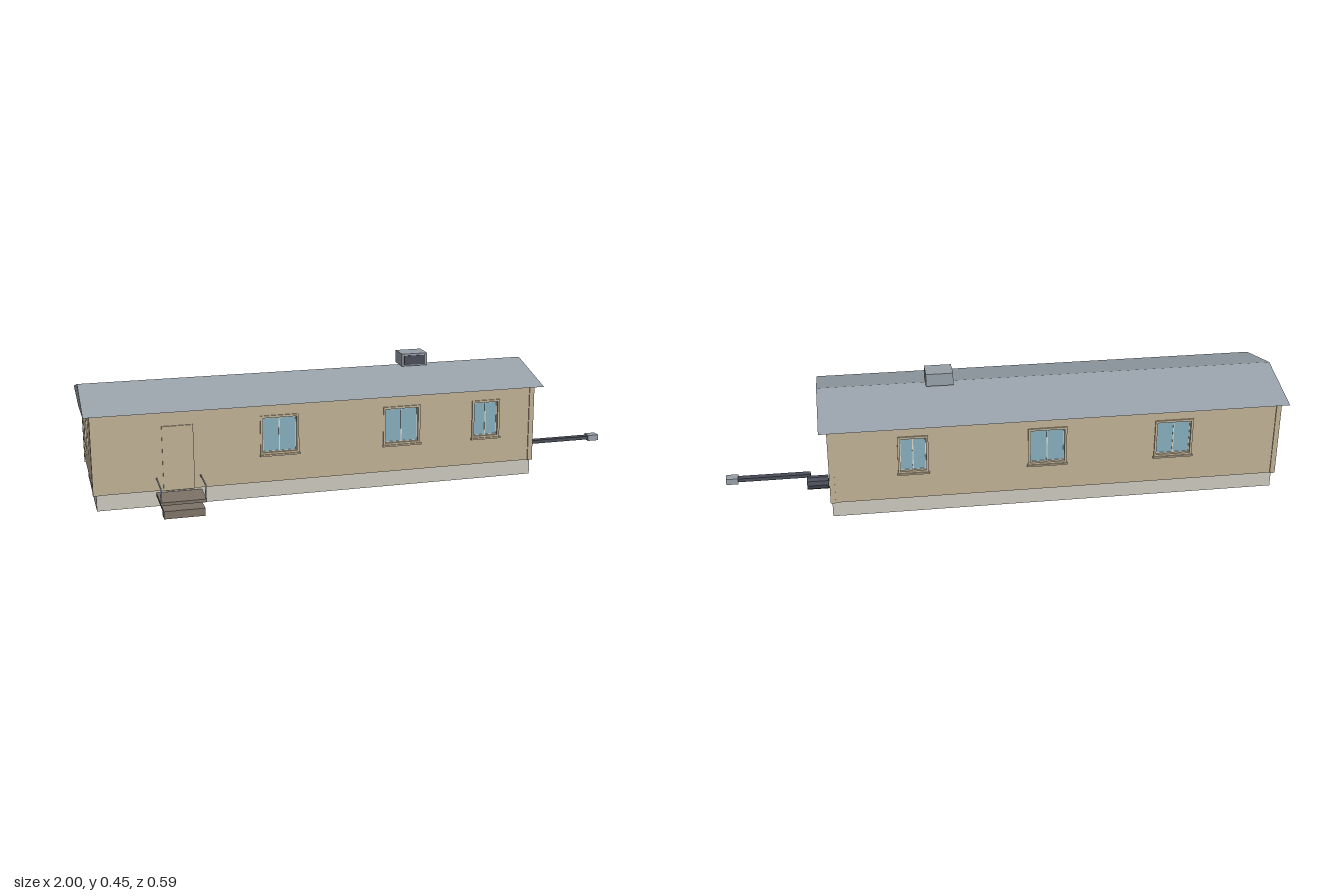
import * as THREE from 'three';

const mat = (name, color, side = THREE.FrontSide) => {
  const m = new THREE.MeshStandardMaterial({ color, side });
  m.name = name;
  return m;
};

export function createModel() {
  const siding = mat('siding', 0xbeaf94);
  const skirting = mat('skirting', 0xc8c6bb);
  const metal = mat('roofMetal', 0x97a0a8);
  const steel = mat('darkSteel', 0x494d57);
  const doorBrown = mat('doorBrown', 0x654834);
  const glass = mat('glass', 0x85acbb, THREE.DoubleSide);
  const sash = mat('sash', 0xd8d4c6);
  const timber = mat('timber', 0x7d7367);

  const model = new THREE.Group();

  const add = (parent, name, geometry, material) => {
    const mesh = new THREE.Mesh(geometry, material);
    mesh.name = name;
    parent.add(mesh);
    return mesh;
  };
  // box given by its min and max on each axis
  const box = (parent, name, material, x0, x1, y0, y1, z0, z1) => {
    const m = add(parent, name, new THREE.BoxGeometry(x1 - x0, y1 - y0, z1 - z0), material);
    m.position.set((x0 + x1) / 2, (y0 + y1) / 2, (z0 + z1) / 2);
    return m;
  };
  const rect = (C, x0, x1, y0, y1) => {
    const p = new C();
    p.moveTo(x0, y0);
    p.lineTo(x1, y0);
    p.lineTo(x1, y1);
    p.lineTo(x0, y1);
    p.closePath();
    return p;
  };
  // flat rectangular plate with rectangular holes, from z0 to z1
  const plate = (outer, holes, z0, z1) => {
    const s = rect(THREE.Shape, ...outer);
    holes.forEach((h) => s.holes.push(rect(THREE.Path, ...h)));
    return new THREE.ExtrudeGeometry(s, { depth: z1 - z0, bevelEnabled: false }).translate(0, 0, z0);
  };

  const X0 = -0.975, X1 = 0.626, Z0 = -0.267, Z1 = 0.161;
  const CX = (X0 + X1) / 2, CZ = (Z0 + Z1) / 2;
  const FLOOR = 0.057, TOP = 0.34;

  // window: trim, sash, two panes and a sill, set in a wall's own frame
  const addWindow = (wall, u, w) => {
    const g = new THREE.Group();
    g.name = 'window';
    g.position.x = u;
    wall.add(g);
    const a = w / 2, b = a - 0.008, c = b - 0.003;
    add(g, 'windowTrim', plate([-a, a, 0.157, 0.298], [[-b, b, 0.165, 0.29]], -0.001, 0.005), siding);
    add(g, 'windowSash', plate([-b, b, 0.165, 0.29],
      [[-c, -0.002, 0.168, 0.287], [0.002, c, 0.168, 0.287]], -0.009, -0.004), sash);
    box(g, 'windowGlass', glass, -c, c, 0.168, 0.287, -0.008, -0.006);
    box(g, 'windowSill', siding, -a - 0.003, a + 0.003, 0.152, 0.158, -0.001, 0.01);
  };

  // door: trim around an opening with a slightly narrower leaf
  const addDoor = (wall, u) => {
    const g = new THREE.Group();
    g.name = 'door';
    g.position.x = u;
    wall.add(g);
    add(g, 'doorTrim', plate([-0.054, 0.054, FLOOR, 0.286], [[-0.046, 0.046, FLOOR - 0.001, 0.279]], -0.001, 0.005), siding);
    box(g, 'doorLeaf', doorBrown, -0.044, 0.04, FLOOR, 0.277, -0.008, 0.002);
  };

  // wall with openings, built facing +z and then turned into place
  const addWall = (name, width, x, z, turn, windows, doors) => {
    const wall = new THREE.Group();
    wall.name = name;
    wall.position.set(x, 0, z);
    wall.rotation.y = turn;
    model.add(wall);
    const holes = [
      ...windows.map(([u, w]) => [u - w / 2 + 0.008, u + w / 2 - 0.008, 0.165, 0.29]),
      ...doors.map((u) => [u - 0.046, u + 0.046, FLOOR + 0.001, 0.279]),
    ];
    add(wall, name + 'Panel', plate([-width / 2, width / 2, FLOOR, TOP], holes, -0.012, 0), siding);
    windows.forEach(([u, w]) => addWindow(wall, u, w));
    doors.forEach((u) => addDoor(wall, u));
  };

  const LONG = X1 - X0, SHORT = Z1 - Z0;
  addWall('frontWall', LONG, CX, Z1, 0,
    [[-0.328 - CX, 0.138], [0.12 - CX, 0.138], [0.442 - CX, 0.107]], [-0.685 - CX]);
  addWall('backWall', LONG, CX, Z0, Math.PI,
    [[CX - 0.337, 0.107], [CX + 0.135, 0.138], [CX + 0.59, 0.138]], []);
  addWall('leftEndWall', SHORT - 0.002, X1, CZ, Math.PI / 2, [], [CZ + 0.037]);
  addWall('rightEndWall', SHORT - 0.002, X0, CZ, -Math.PI / 2, [[-0.083 - CZ, 0.107]], []);

  // corner boards
  for (const sx of [-1, 1]) for (const sz of [-1, 1]) {
    const x = CX + sx * (LONG / 2 - 0.005), z = CZ + sz * (SHORT / 2 - 0.005);
    box(model, 'cornerBoard', siding, x - 0.009, x + 0.009, FLOOR, TOP - 0.002, z - 0.009, z + 0.009);
  }

  // skirting base
  box(model, 'skirting', skirting, -0.968, 0.624, 0, FLOOR, -0.262, 0.155);

  // shallow gable roof with a sagging soffit
  const roofShape = new THREE.Shape([
    new THREE.Vector2(0.295, 0.34), new THREE.Vector2(0.053, 0.402),
    new THREE.Vector2(-0.189, 0.34), new THREE.Vector2(0.053, 0.324),
  ]);
  const roof = add(model, 'roof',
    new THREE.ExtrudeGeometry(roofShape, { depth: 1.657, bevelEnabled: false }), metal);
  roof.rotation.y = Math.PI / 2;
  roof.position.x = -1;

  // rooftop cooling unit
  box(model, 'roofUnit', metal, 0.175, 0.272, 0.402, 0.448, -0.092, -0.013);
  box(model, 'roofUnitGrille', steel, 0.183, 0.264, 0.407, 0.441, -0.014, -0.01);

  // porch with steps and handrails
  const porch = new THREE.Group();
  porch.name = 'porch';
  model.add(porch);
  box(porch, 'deck', timber, -0.765, -0.607, 0.04, 0.051, 0.161, 0.275);
  box(porch, 'upperStep', timber, -0.757, -0.617, 0.015, 0.026, 0.155, 0.275);
  box(porch, 'lowerStep', timber, -0.757, -0.617, 0, 0.027, 0.253, 0.298);
  for (const x of [-0.762, -0.61]) {
    box(porch, 'railPost', metal, x - 0.002, x + 0.002, 0.051, 0.101, 0.268, 0.272);
    box(porch, 'handrail', metal, x - 0.002, x + 0.002, 0.1, 0.104, 0.161, 0.275);
  }

  // gas tank, tow bar and coupler
  const tankGeo = new THREE.CylinderGeometry(0.025, 0.025, 0.077, 10).toNonIndexed();
  tankGeo.computeVertexNormals();
  const tank = add(model, 'gasTank', tankGeo, steel);
  tank.rotation.z = Math.PI / 2;
  tank.position.set(0.672, 0.063, -0.121);
  box(model, 'towBar', steel, 0.698, 0.958, 0.053, 0.066, -0.064, -0.041);
  box(model, 'coupler', metal, 0.957, 1, 0.048, 0.07, -0.07, -0.035);

  return model;
}
